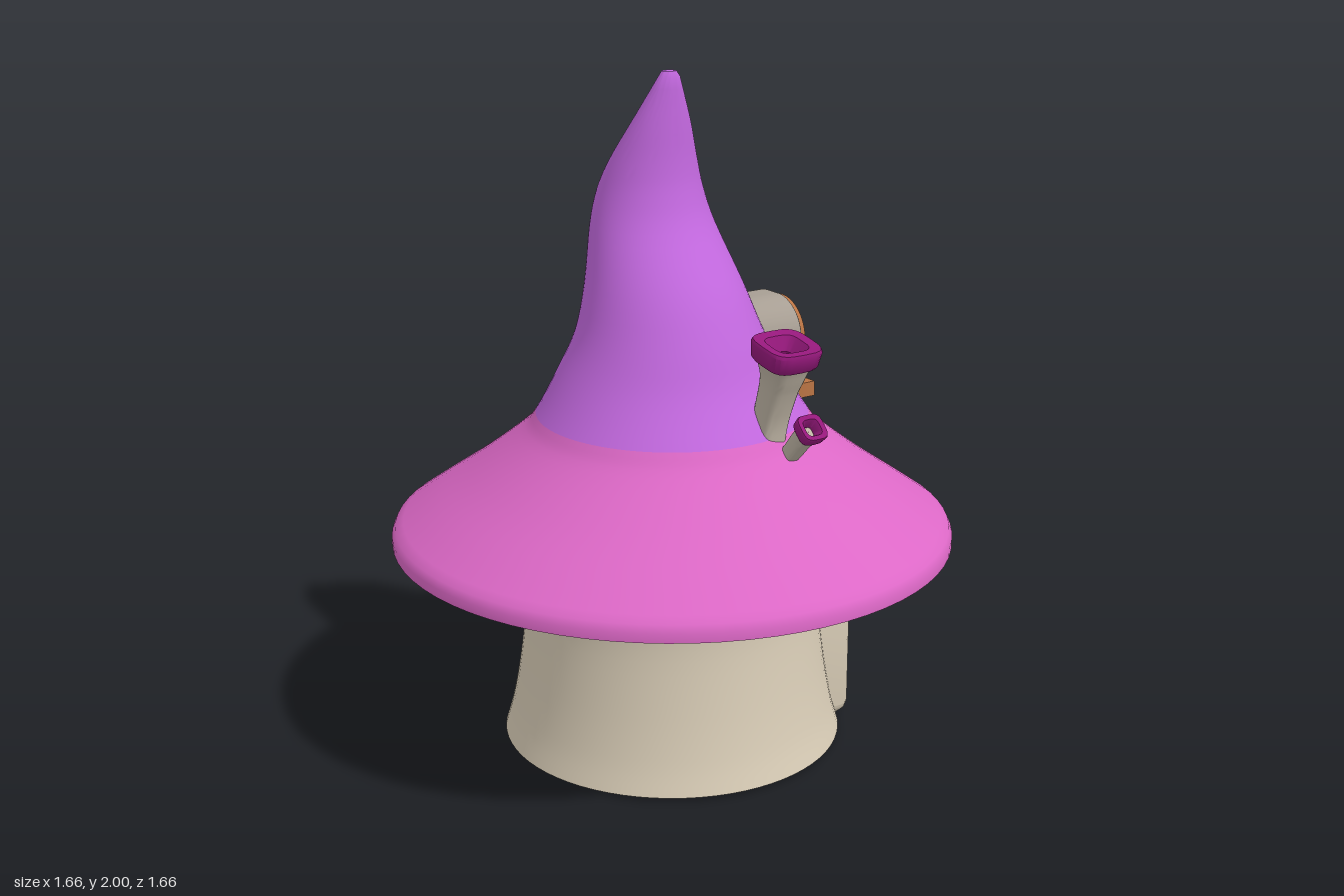
import * as THREE from 'three';
import { toCreasedNormals } from 'three/addons/utils/BufferGeometryUtils.js';

const mat = (name, color, side = THREE.FrontSide) => {
  const m = new THREE.MeshStandardMaterial({ color, side });
  m.name = name;
  return m;
};
const V = (x, y, z) => new THREE.Vector3(x, y, z);

// Skin a list of closed rings; rings from index "split" on use material 1
function loft(rings, split = rings.length, crease = 0.7) {
  const n = rings[0].length, pos = [], idx = [];
  rings.forEach(r => r.forEach(p => pos.push(p.x, p.y, p.z)));
  for (let i = 0; i < rings.length - 1; i++) {
    for (let j = 0; j < n; j++) {
      const k = (j + 1) % n, a = i * n, b = a + n;
      idx.push(a + j, b + j, a + k, a + k, b + j, b + k);
    }
  }
  const g = new THREE.BufferGeometry();
  g.setAttribute('position', new THREE.Float32BufferAttribute(pos, 3));
  g.setIndex(idx);
  const cut = Math.min(split, rings.length - 1) * n * 6;
  g.addGroup(0, cut, 0);
  if (cut < idx.length) g.addGroup(cut, idx.length - cut, 1);
  return toCreasedNormals(g, crease);
}

// Ring around centre c, across direction d; power below 1 makes it squarish
function ring(c, d, rx, rz, n = 72, power = 1) {
  const u = V(1, 0, 0), v = u.clone().cross(d).normalize();
  const soft = t => Math.sign(t) * Math.pow(Math.abs(t), power);
  return Array.from({ length: n }, (_, j) => {
    const a = j / n * Math.PI * 2;
    return c.clone().addScaledVector(u, rx * soft(Math.cos(a))).addScaledVector(v, rz * soft(Math.sin(a)));
  });
}

// Rectangle with its own corner radius at the top and at the bottom
function panel(x0, y0, x1, y1, rt = 0, rb = 0, Type = THREE.Shape) {
  const s = new Type();
  s.moveTo(x0 + rb, y0);
  s.lineTo(x1 - rb, y0);
  if (rb) s.absarc(x1 - rb, y0 + rb, rb, -Math.PI / 2, 0);
  s.lineTo(x1, y1 - rt);
  if (rt) s.absarc(x1 - rt, y1 - rt, rt, 0, Math.PI / 2);
  s.lineTo(x0 + rt, y1);
  if (rt) s.absarc(x0 + rt, y1 - rt, rt, Math.PI / 2, Math.PI);
  s.lineTo(x0, y0 + rb);
  if (rb) s.absarc(x0 + rb, y0 + rb, rb, Math.PI, Math.PI * 1.5);
  return s;
}

// Extrude from z0 to z1 including the bevel
function slab(shape, z0, z1, bevel = 0, size = bevel) {
  const g = new THREE.ExtrudeGeometry(shape, {
    depth: z1 - z0 - 2 * bevel, curveSegments: 16, bevelEnabled: bevel > 0,
    bevelThickness: bevel, bevelSize: size, bevelSegments: 3,
  });
  return toCreasedNormals(g.translate(0, 0, z0 + bevel), 0.6);
}

export function createModel() {
  const cream = mat('cream plaster', 0xd8ccb6, THREE.DoubleSide);
  const pink = mat('pink brim', 0xdc68c6, THREE.DoubleSide);
  const purple = mat('purple roof', 0xc268de, THREE.DoubleSide);
  const wood = mat('orange wood', 0xba7444);
  const darkWood = mat('dark wood', 0x6e4126);
  const stone = mat('grey stone', 0x7c746e);
  const hoodMat = mat('grey plaster', 0xa79e93);
  const flue = mat('chimney plaster', 0xbfb5a5);
  const magenta = mat('magenta cap', 0x96197c);
  const glass = mat('blue glass', 0x9dbace);

  const model = new THREE.Group();
  const add = (parent, name, geo, material) => {
    const m = new THREE.Mesh(geo, material);
    m.name = name;
    parent.add(m);
    return m;
  };
  const up = V(0, 1, 0);

  // Round wall, pinched at the waist
  const wallCurve = new THREE.SplineCurve([[0.51, 0.01], [0.485, 0.1], [0.46, 0.24], [0.44, 0.42], [0.445, 0.54],
    [0.462, 0.64], [0.49, 0.74], [0.53, 0.84]].map(p => new THREE.Vector2(...p)));
  add(model, 'wall', new THREE.LatheGeometry(wallCurve.getPoints(32), 72), cream);

  // Bent pointed roof: height, half width, front z, back z
  const sections = [
    [0.68, 0.82, 0.82, -0.82], [0.75, 0.72, 0.72, -0.72], [0.84, 0.59, 0.59, -0.59], [0.95, 0.45, 0.45, -0.45],
    [1.01, 0.4, 0.4, -0.4], [1.13, 0.33, 0.315, -0.34], [1.25, 0.273, 0.26, -0.29], [1.385, 0.23, 0.19, -0.276],
    [1.55, 0.185, 0.075, -0.277], [1.65, 0.157, 0.035, -0.26], [1.74, 0.13, 0.02, -0.21],
    [1.85, 0.09, 0.015, -0.127], [1.98, 0.034, 0.01, -0.04],
  ];
  const axis = new THREE.CatmullRomCurve3(sections.map(([y, r, f, b]) => V(r, y, (f + b) / 2)), false, 'catmullrom');
  const depth = new THREE.CatmullRomCurve3(sections.map(([y, , f, b]) => V((f - b) / 2, y, 0)), false, 'catmullrom');
  const rings = [[0.42, 0.94], [0.55, 0.82], [0.7, 0.71], [0.815, 0.63], [0.83, 0.632], [0.83, 0.658]]
    .map(([r, y]) => ring(V(0, y, 0), up, r, r));
  const steps = 48;
  for (let i = 0; i <= steps; i++) {
    const a = axis.getPoint(i / steps), d = depth.getPoint(i / steps);
    rings.push(ring(V(0, a.y, a.z), up, a.x, d.x));
  }
  rings.push(ring(V(0, 1.997, -0.015), up, 0.022, 0.018), ring(V(0, 2, -0.015), up, 0.0005, 0.0005));
  add(model, 'roof', loft(rings, 6 + 16), [pink, purple]);

  // Curved chimneys with hollow squarish caps
  function chimney(name, points, r0, r1, capR, capH) {
    const g = new THREE.Group();
    g.name = name;
    const path = new THREE.CatmullRomCurve3(points.map(p => V(...p)));
    const tube = [];
    for (let i = 0; i <= 12; i++) {
      const t = i / 12, r = r0 + (r1 - r0) * t * t;
      tube.push(ring(path.getPoint(t), path.getTangent(t), r, r, 24, 0.55));
    }
    const end = path.getPoint(1), d = path.getTangent(1);
    const at = (h, r) => ring(end.clone().addScaledVector(d, h * capH), d, r * capR, r * capR, 24, 0.55);
    tube.push(at(0.2, 0.01));
    add(g, 'flue', loft(tube), flue);
    add(g, 'cap', loft([at(0, 0.4), at(0, 0.86), at(0.15, 0.94), at(0.85, 1), at(1, 0.95), at(0.95, 0.62),
      at(0.3, 0.36), at(0, 0.4)]), magenta);
    model.add(g);
  }
  chimney('largeChimney', [[0.085, 0.96, 0.35], [0.09, 1.06, 0.362], [0.093, 1.16, 0.393], [0.095, 1.2, 0.405],
    [0.095, 1.235, 0.412]], 0.042, 0.066, 0.086, 0.06);
  chimney('smallChimney', [[0.12, 0.93, 0.37], [0.12, 0.97, 0.42], [0.12, 1.01, 0.456], [0.12, 1.045, 0.49]],
    0.024, 0.029, 0.042, 0.036);

  // Side pieces are made facing +z, then turned to face +x
  const entry = new THREE.Group();
  entry.name = 'entry';
  entry.rotation.y = Math.PI / 2;
  model.add(entry);
  add(entry, 'porch', slab(panel(-0.235, 0.03, 0.245, 0.512, 0.16, 0.02), 0.2, 0.492, 0.04, 0.03), cream);

  // Door with stone surround, planks and crossbars
  const surround = panel(-0.142, 0.016, 0.147, 0.41, 0.025, 0.025);
  surround.holes.push(panel(-0.122, 0.034, 0.127, 0.392, 0.02, 0.02, THREE.Path));
  add(entry, 'doorSurround', slab(surround, 0.47, 0.507, 0.006), stone);
  const box = (name, x, y, w, h, z0, z1, m) =>
    add(entry, name, new THREE.BoxGeometry(w, h, z1 - z0).translate(x, y, (z0 + z1) / 2), m);
  box('doorBack', 0.0025, 0.213, 0.25, 0.36, 0.47, 0.494, darkWood);
  for (let i = 0; i < 4; i++) box('doorPlank', -0.084 + i * 0.0575, 0.213, 0.053, 0.35, 0.48, 0.498, wood);
  for (const y of [0.075, 0.215, 0.345]) {
    box('crossbarShadow', 0.0025, y, 0.208, 0.052, 0.49, 0.4995, darkWood);
    box('crossbar', 0.0025, y, 0.2, 0.044, 0.49, 0.502, wood);
  }
  add(entry, 'doorKnob', new THREE.SphereGeometry(0.016, 20, 14).translate(0.086, 0.215, 0.519), stone);
  add(entry, 'knobStem', new THREE.CylinderGeometry(0.007, 0.007, 0.03, 12).rotateX(Math.PI / 2)
    .translate(0.086, 0.215, 0.505), stone);

  // Small window over the door
  const transom = panel(-0.088, 0.44, 0.086, 0.51, 0.005, 0.005);
  transom.holes.push(panel(-0.077, 0.45, 0.075, 0.5, 0.003, 0.003, THREE.Path));
  add(entry, 'transomFrame', slab(transom, 0.47, 0.502, 0.004), wood);
  box('transomGlass', -0.001, 0.475, 0.16, 0.058, 0.48, 0.495, glass);
  box('transomMullion', -0.001, 0.475, 0.005, 0.054, 0.49, 0.498, stone);
  box('transomBar', -0.001, 0.475, 0.156, 0.003, 0.49, 0.497, stone);

  // Roof window: hood, arched frame, glass and sill
  const dormer = new THREE.Group();
  dormer.name = 'dormer';
  dormer.rotation.y = Math.PI / 2;
  model.add(dormer);
  add(dormer, 'hood', slab(panel(-0.12, 1.035, 0.13, 1.3, 0.105), 0.16, 0.378, 0.015), hoodMat);
  const arch = panel(-0.11, 1.05, 0.117, 1.298, 0.113);
  arch.holes.push(panel(-0.088, 1.06, 0.095, 1.277, 0.091, 0, THREE.Path));
  add(dormer, 'windowFrame', slab(arch, 0.35, 0.403, 0.004), wood);
  const lining = panel(-0.093, 1.056, 0.1, 1.282, 0.096);
  lining.holes.push(panel(-0.081, 1.063, 0.088, 1.27, 0.084, 0, THREE.Path));
  add(dormer, 'windowLining', slab(lining, 0.36, 0.391), stone);
  add(dormer, 'windowGlass', slab(panel(-0.088, 1.055, 0.095, 1.277, 0.091), 0.36, 0.385), glass);
  add(dormer, 'sill', slab(panel(-0.129, 1.019, 0.139, 1.054), 0.34, 0.427, 0.005), wood);

  return model;
}
